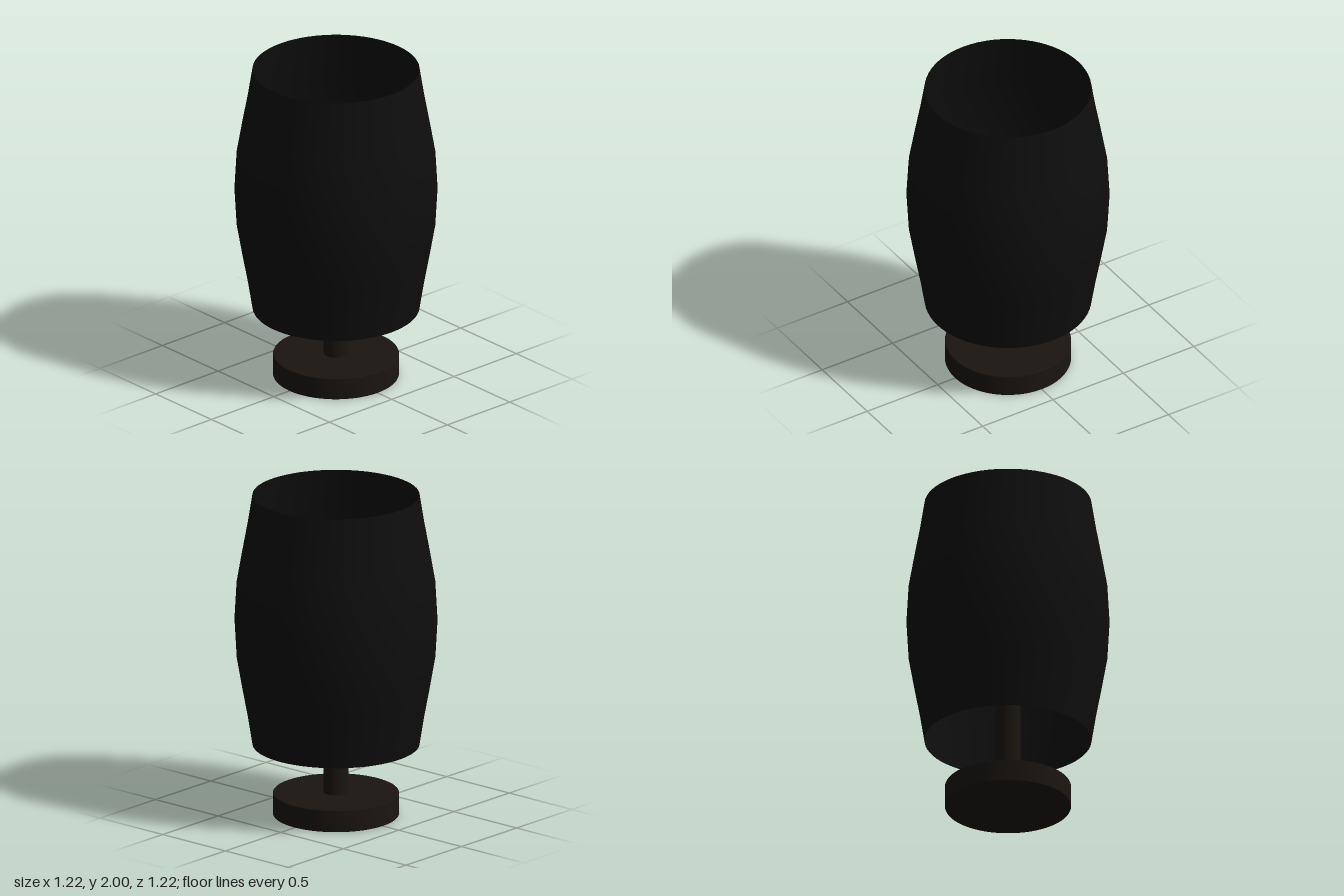
import * as THREE from 'three';

const lathe = (points, segments) =>
  new THREE.LatheGeometry(points.map(([r, y]) => new THREE.Vector2(r, y)), segments);

export function createModel() {
  const lamp = new THREE.Group();
  lamp.name = 'tableLamp';
  const metal = new THREE.MeshStandardMaterial({ color: 0x1a1510 });
  const fabric = new THREE.MeshStandardMaterial({ color: 0x0e0e0e, side: THREE.DoubleSide });

  const add = (name, geometry, material) => {
    const mesh = new THREE.Mesh(geometry, material);
    mesh.name = name;
    lamp.add(mesh);
    return mesh;
  };

  // Round foot with a slightly softened rim
  const R = 0.378, H = 0.138, b = 0.006;
  add('base', lathe([
    [0, 0], [R - b, 0], [R - b * 0.3, b * 0.3], [R, b],
    [R, H - b], [R - b * 0.3, H - b * 0.3], [R - b, H], [0, H],
  ], 64), metal);

  // Stem rising into the shade
  const bottom = H - 0.01, top = 1.0;
  const stem = add('stem', new THREE.CylinderGeometry(0.075, 0.075, top - bottom, 32), metal);
  stem.position.y = (top + bottom) / 2;

  // Barrel shade: a thin shell open at both ends, mirrored about its middle
  const middle = 1.22;
  const lower = [[0.5, 0.44], [0.527, 0.61], [0.562, 0.8], [0.595, 0.99]];
  const upper = lower.map(([r, y]) => [r, 2 * middle - y]).reverse();
  add('shade', lathe([...lower, [0.608, middle], ...upper], 64), fabric);

  return lamp;
}
